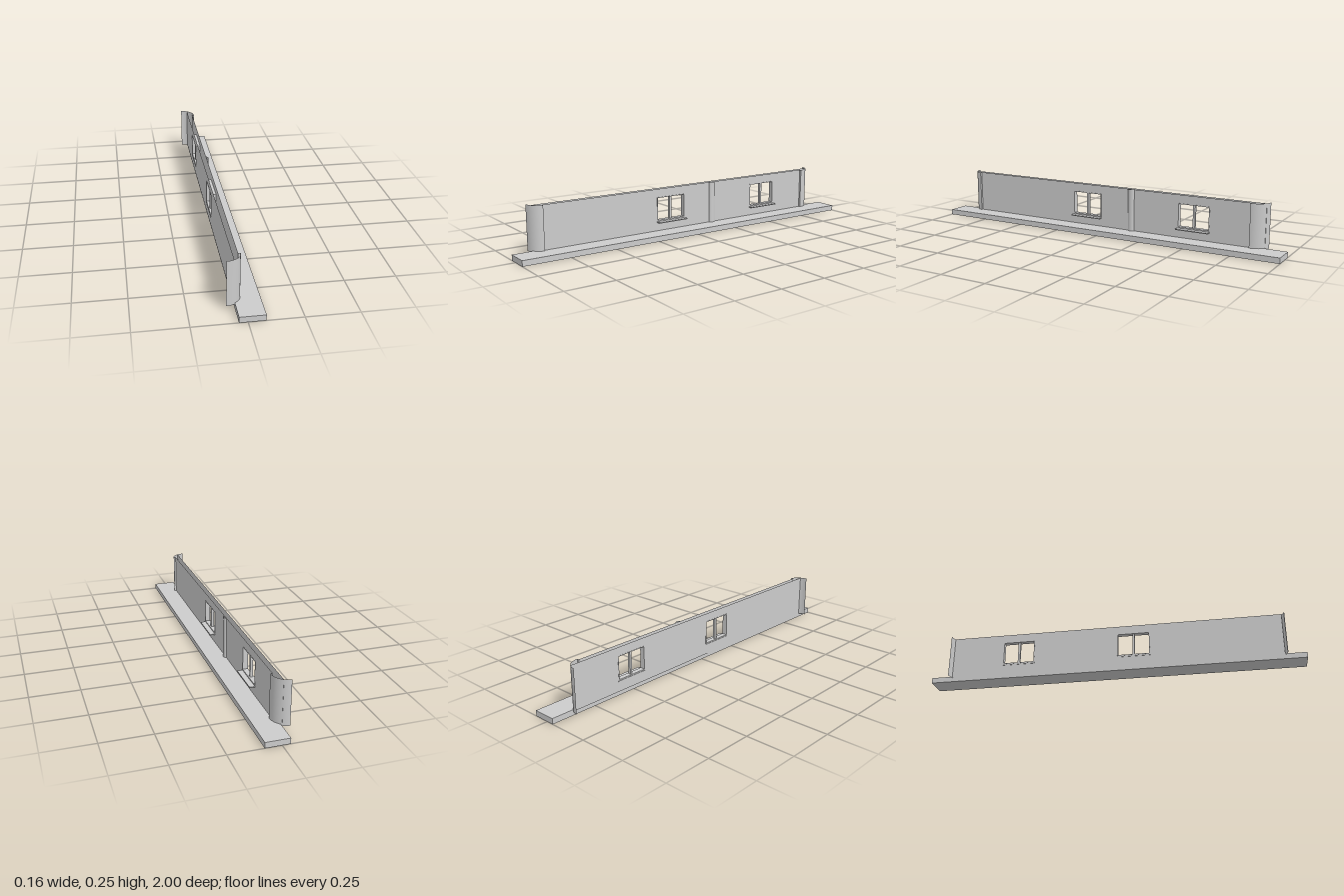
import * as THREE from 'three';

const mat = new THREE.MeshStandardMaterial({ color: 0xcccccc, side: THREE.DoubleSide });

const BASE = 0.022, TOP = 0.252;      // wall height range
const BACK = -0.045, FRONT = -0.02;   // wall faces in x
const CORNER_X = -0.08, CORNER_DEPTH = 0.071;
const windows = [0.112, -0.515];      // window centres in z
const WIN = { w: 0.166, y0: 0.085, y1: 0.204, rim: 0.004 };

function rect(path, x0, y0, x1, y1) {
  path.moveTo(x0, y0);
  path.lineTo(x1, y0);
  path.lineTo(x1, y1);
  path.lineTo(x0, y1);
  path.closePath();
  return path;
}

function add(parent, name, geometry, x = 0, y = 0, z = 0) {
  const mesh = new THREE.Mesh(geometry, mat);
  mesh.name = name;
  mesh.position.set(x, y, z);
  parent.add(mesh);
  return mesh;
}

// Thin upright wall sheet with window openings, facing +x (shape x runs along -z)
function wallSheet(zMin, zMax) {
  const shape = rect(new THREE.Shape(), -zMax, BASE, -zMin, TOP);
  for (const z of windows) {
    const h = WIN.w / 2 + WIN.rim;
    shape.holes.push(rect(new THREE.Path(), -z - h, WIN.y0 - WIN.rim, -z + h, WIN.y1 + WIN.rim));
  }
  return new THREE.ShapeGeometry(shape).rotateY(Math.PI / 2);
}

// Open vertical sheet: an elliptical arc in plan, swept from base to top
function curvedSheet(cx, cz, rx, rz, a0, a1, steps = 16) {
  const pos = [], nor = [], index = [];
  for (let i = 0; i <= steps; i++) {
    const a = a0 + (a1 - a0) * i / steps;
    const c = Math.cos(a), s = Math.sin(a);
    const n = new THREE.Vector3(c / rx, 0, s / rz).normalize();
    for (const y of [BASE, TOP]) {
      pos.push(cx + rx * c, y, cz + rz * s);
      nor.push(n.x, n.y, n.z);
    }
    if (i < steps) {
      const k = i * 2;
      index.push(k, k + 1, k + 2, k + 1, k + 3, k + 2);
    }
  }
  const g = new THREE.BufferGeometry();
  g.setAttribute('position', new THREE.Float32BufferAttribute(pos, 3));
  g.setAttribute('normal', new THREE.Float32BufferAttribute(nor, 3));
  g.setIndex(index);
  return g;
}

export function createModel() {
  const model = new THREE.Group();
  model.name = 'wallSection';

  // Pavement slab
  add(model, 'pavement', new THREE.BoxGeometry(0.12, 0.029, 2), 0.02, 0.0145, 0);

  // Hollow wall: front and back sheets, open at the top
  add(model, 'wallFront', wallSheet(-0.815, 0.845), FRONT);
  add(model, 'wallBack', wallSheet(-0.885, 0.89), BACK);

  // Rounded corner at each end, with a small return to the wall face
  for (const [inner, outer, label] of [[0.845, 0.903, 'front'], [-0.815, -0.894, 'rear']]) {
    const rz = Math.abs(outer - inner);
    const dir = Math.sign(outer);
    const arc = dir > 0 ? [0, Math.PI / 2] : [-Math.PI / 2, 0];
    add(model, label + 'Corner', curvedSheet(CORNER_X, inner, CORNER_DEPTH, rz, ...arc));
    const edge = CORNER_X + CORNER_DEPTH;
    add(model, label + 'CornerReturn', new THREE.PlaneGeometry(edge - FRONT, TOP - BASE),
      (edge + FRONT) / 2, (TOP + BASE) / 2, inner);
  }

  // Half-round rib on the front face
  add(model, 'rib', curvedSheet(FRONT, -0.158, 0.011, 0.018, -Math.PI / 2, Math.PI / 2, 10));

  // Windows: lining, centre mullion and projecting sill
  for (const z of windows) {
    const win = new THREE.Group();
    win.name = 'window';
    win.position.z = z;
    const h = WIN.w / 2, r = WIN.rim;
    const ring = rect(new THREE.Shape(), -h - r, WIN.y0 - r, h + r, WIN.y1 + r);
    ring.holes.push(rect(new THREE.Path(), -h, WIN.y0, h, WIN.y1));
    const lining = new THREE.ExtrudeGeometry(ring, { depth: FRONT - BACK + 0.002, bevelEnabled: false });
    add(win, 'windowLining', lining.rotateY(Math.PI / 2), BACK - 0.001);
    add(win, 'mullion', new THREE.BoxGeometry(0.014, WIN.y1 - WIN.y0, 0.012),
      (FRONT + BACK) / 2, (WIN.y0 + WIN.y1) / 2, 0);
    add(win, 'sill', new THREE.BoxGeometry(0.054, 0.005, 0.178), -0.02, 0.0755, 0);
    model.add(win);
  }
  return model;
}
